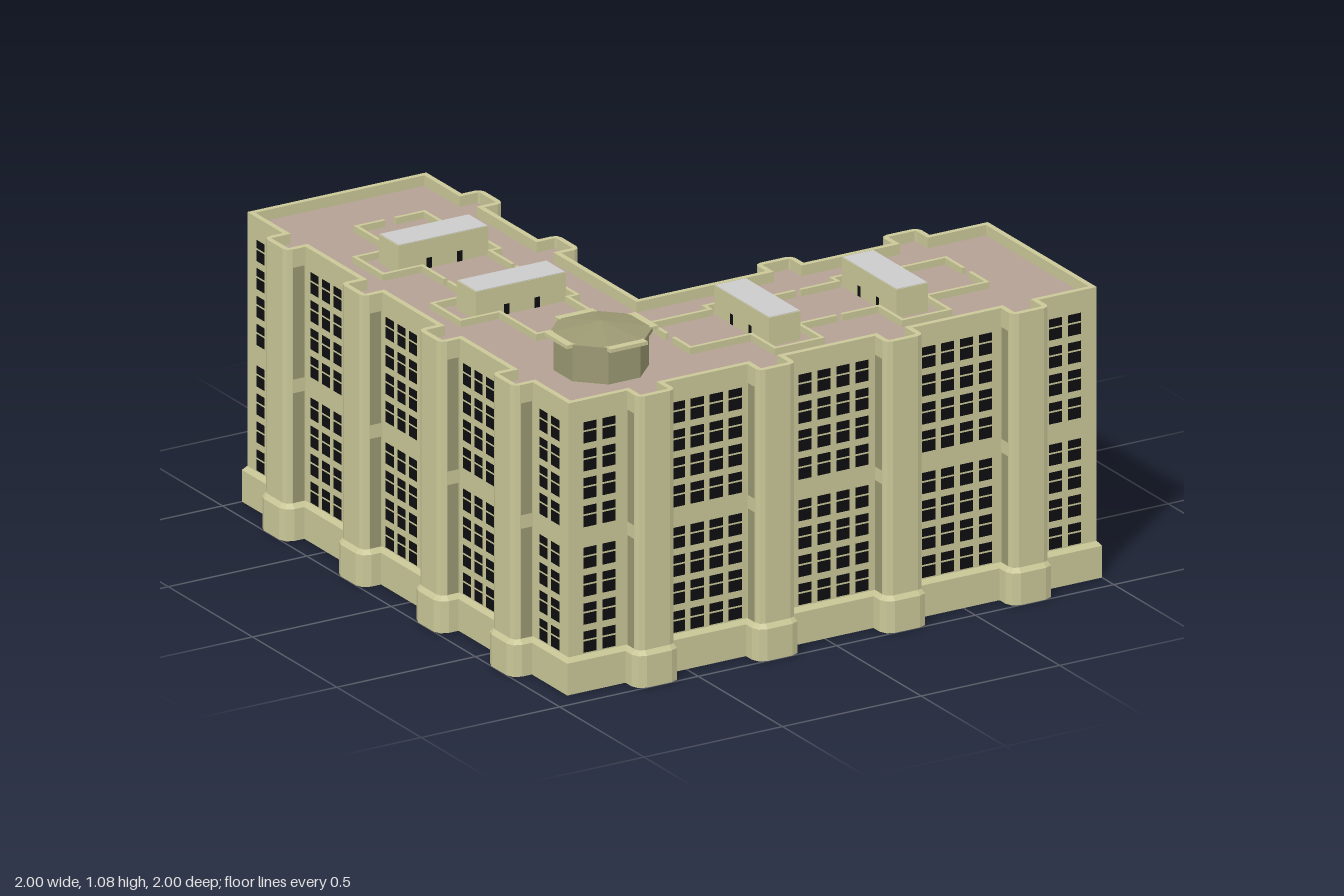
import * as THREE from 'three';
import { mergeGeometries } from 'three/addons/utils/BufferGeometryUtils.js';

const ROOF = 0.925;
const mat = (color) => new THREE.MeshStandardMaterial({ color, flatShading: true });
const STONE = mat(0xcac898), SHADE = mat(0x9a9872), DECK = mat(0xb4a194), DARK = mat(0x0e0e12), GREY = mat(0xcccccc);

const FRONT_BAYS = [-0.64, -0.205, 0.255, 0.71];
const COURT_BAYS = [0.255, 0.71];

// The plan is symmetric about the diagonal that swaps the two wings
const mirror = ([x, z]) => [-z, -x];

// L-shaped outline with round-cornered bays, shrunk by the inset o
function outline(o) {
  const W = 0.93 - o, D = 1 - o, E = 1 - o, I = 0.26 + o, J = 0.19 + o;
  const h = 0.08 - o, r = 0.035 - o, k = r * 0.29;
  const bay = (c, wall, tip, s) => {
    const t = Math.sign(tip - wall);
    return [
      [c - s * h, wall], [c - s * h, tip - t * r], [c - s * (h - k), tip - t * k], [c - s * (h - r), tip],
      [c + s * (h - r), tip], [c + s * (h - k), tip - t * k], [c + s * h, tip - t * r], [c + s * h, wall],
    ];
  };
  const half = [
    [-W, W], ...FRONT_BAYS.flatMap((c) => bay(c, W, D, 1)), [E, W], [E, I],
    ...[...COURT_BAYS].reverse().flatMap((c) => bay(c, I, J, -1)), [-I, I],
  ];
  return [...half, ...half.slice(1, -1).reverse().map(mirror)];
}

// Walls swept round the outline through [inset, height] steps
function loft(steps) {
  const pos = [];
  for (let s = 0; s < steps.length - 1; s++) {
    const [a, b] = [outline(steps[s][0]), outline(steps[s + 1][0])];
    const [ya, yb] = [steps[s][1], steps[s + 1][1]];
    for (let i = 0; i < a.length; i++) {
      const j = (i + 1) % a.length;
      const p = [a[i][0], ya, a[i][1]], q = [a[j][0], ya, a[j][1]];
      const u = [b[j][0], yb, b[j][1]], v = [b[i][0], yb, b[i][1]];
      pos.push(...p, ...q, ...u, ...p, ...u, ...v);
    }
  }
  const g = new THREE.BufferGeometry();
  g.setAttribute('position', new THREE.Float32BufferAttribute(pos, 3));
  g.computeVertexNormals();
  return g;
}

// Horizontal slab face filling the outline, facing up (1) or down (-1)
function slab(o, y, up) {
  const shape = new THREE.Shape(outline(o).map(([x, z]) => new THREE.Vector2(x, -up * z)));
  return new THREE.ShapeGeometry(shape).rotateX(-up * Math.PI / 2).translate(0, y, 0);
}

// Wall panel and its twin on the other wing; angle 0 faces +z
function panelPair(list, x, z, y0, y1, w, angle) {
  const add = (px, pz, a) => list.push(
    new THREE.PlaneGeometry(w, y1 - y0).rotateY(a).translate(px, (y0 + y1) / 2, pz));
  add(x, z, angle);
  add(-z, -x, -Math.PI / 2 - angle);
}

// Box and its twin on the other wing
function boxPair(list, x0, x1, y0, y1, z0, z1) {
  const add = (w, d, x, z) => list.push(
    new THREE.BoxGeometry(w, y1 - y0, d).translate(x, (y0 + y1) / 2, z));
  const x = (x0 + x1) / 2, z = (z0 + z1) / 2;
  add(x1 - x0, z1 - z0, x, z);
  add(z1 - z0, x1 - x0, -z, -x);
}

export function createModel() {
  const model = new THREE.Group();
  const add = (name, geometry, material, parent = model) => {
    const m = new THREE.Mesh(Array.isArray(geometry) ? mergeGeometries(geometry) : geometry, material);
    m.name = name;
    parent.add(m);
    return m;
  };

  // Plinth, walls and parapet
  add('walls', loft([[0, 0], [0, 0.105], [0.012, 0.12], [0.012, 0.96], [0.03, 0.96], [0.03, ROOF]]), STONE);
  add('roofDeck', slab(0.03, ROOF, 1), DECK);
  add('underside', slab(0, 0, -1), GREY);

  // Windows: eight storeys in two blocks, each with an upper and a lower pane
  const windows = [];
  const PITCH = 0.0685;
  const column = (x, z, angle) => {
    for (const base of [0.125, 0.54]) {
      for (let i = 0; i < 4; i++) {
        const y = base + i * 0.0925;
        panelPair(windows, x, z, y, y + 0.037, 0.048, angle);
        panelPair(windows, x, z, y + 0.043, y + 0.07, 0.048, angle);
      }
    }
  };
  for (const [start, n] of [[-0.842, 2], [-0.523, 4], [-0.066, 4], [0.38, 4], [0.838, 2]])
    for (let i = 0; i < n; i++) column(start + i * PITCH, 0.92, 0);
  for (const [start, n] of [[-0.213, 6], [0.38, 4], [0.838, 2]])
    for (let i = 0; i < n; i++) column(start + i * PITCH, 0.27, Math.PI);
  for (let i = 0; i < 9; i++) column(0.99, 0.325 + i * PITCH, Math.PI / 2);
  add('windows', windows, DARK);

  // Tall shaded panels on the sides of the bays
  const panels = [];
  const bayPanels = (c, z) => {
    for (const s of [-1, 1])
      for (const [y0, y1] of [[0.122, 0.485], [0.53, 0.9]])
        panelPair(panels, c + s * 0.07, z, y0, y1, 0.04, s * Math.PI / 2);
  };
  FRONT_BAYS.forEach((c) => bayPanels(c, 0.944));
  COURT_BAYS.forEach((c) => bayPanels(c, 0.246));
  add('bayPanels', panels, SHADE);

  // Double entrance doors in the courtyard bays
  const doors = [];
  for (const c of COURT_BAYS)
    for (const s of [-1, 1]) panelPair(doors, c + s * 0.015, 0.188, 0.002, 0.085, 0.023, Math.PI);
  add('doors', doors, DARK);

  // Roof houses with grey tops, small windows and doors
  const houses = [], tops = [], openings = [];
  for (const x of [-0.035, 0.425]) {
    boxPair(houses, x - 0.057, x + 0.057, ROOF, 1.02, 0.425, 0.75);
    boxPair(tops, x - 0.055, x + 0.055, 1.02, 1.022, 0.428, 0.747);
    for (const s of [-1, 1]) {
      panelPair(openings, x + s * 0.02, 0.423, 0.965, 0.99, 0.018, Math.PI);
      for (const z of [0.53, 0.64])
        panelPair(openings, x + s * 0.059, z, ROOF, 0.96, 0.02, s * Math.PI / 2);
    }
  }
  add('roofHouses', houses, STONE);
  add('roofHouseTops', tops, GREY);
  add('roofHouseOpenings', openings, DARK);

  // Low kerb walls around the roof houses
  const kerbs = [];
  const T = 0.006;
  const paths = [
    [[0.58, 0.74], [0.675, 0.74], [0.675, 0.52], [0.815, 0.52], [0.815, 0.35], [0.675, 0.35], [0.675, 0.22]],
    [[0.53, 0.74], [0.43, 0.74], [0.43, 0.52], [0.395, 0.52], [0.395, 0.35], [0.43, 0.35], [0.43, 0.22]],
  ];
  for (const path of paths) {
    for (const flip of [(x) => x, (x) => 0.41 - x]) {
      for (let i = 0; i < path.length - 1; i++) {
        const [za, xa] = path[i], [zb, xb] = path[i + 1];
        const [x0, x1] = [flip(xa), flip(xb)].sort((p, q) => p - q);
        boxPair(kerbs, x0 - T, x1 + T, ROOF, ROOF + 0.022, Math.min(za, zb) - T, Math.max(za, zb) + T);
      }
    }
  }
  add('roofKerbs', kerbs, STONE);

  // Octagonal corner pavilion
  const pavilion = new THREE.Group();
  pavilion.name = 'pavilion';
  pavilion.position.set(-0.625, 0, 0.63);
  model.add(pavilion);
  const octagon = (apothem, top, y0, y1) => {
    const k = 1 / Math.cos(Math.PI / 8);
    return new THREE.CylinderGeometry(top * k, apothem * k, y1 - y0, 8)
      .rotateY(Math.PI / 8).translate(0, (y0 + y1) / 2, 0);
  };
  add('pavilionBody', octagon(0.138, 0.138, ROOF, 1.04), SHADE, pavilion);
  add('pavilionEave', octagon(0.15, 0.15, 1.037, 1.05), SHADE, pavilion);
  add('pavilionRoof', octagon(0.15, 0.001, 1.05, 1.08), SHADE, pavilion);
  const ledges = [];
  for (let i = 0; i < 4; i++)
    ledges.push(new THREE.BoxGeometry(0.135, 0.012, 0.03).translate(0, 1.046, 0.15).rotateY(i * Math.PI / 2));
  add('pavilionLedges', ledges, STONE, pavilion);

  return model;
}
